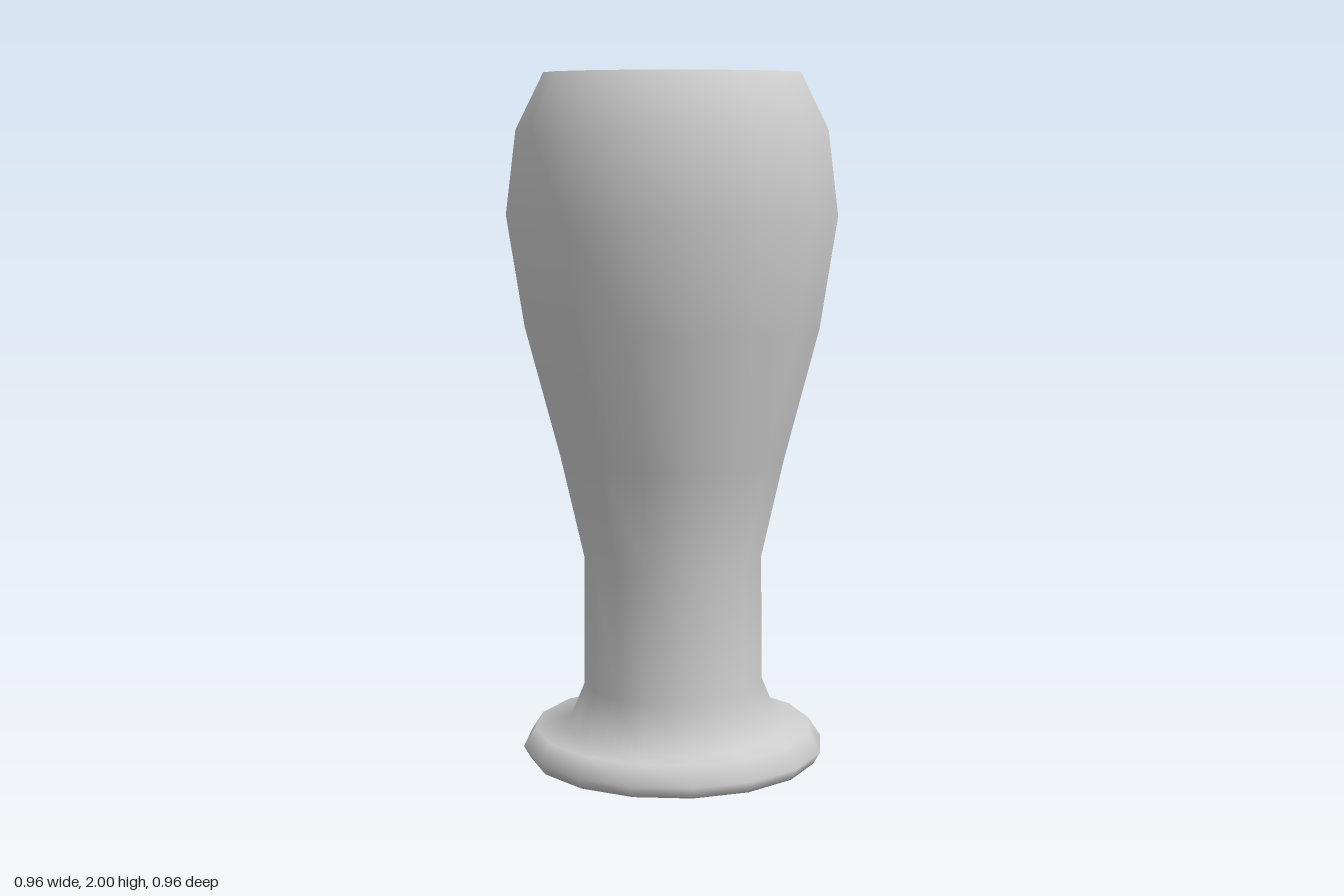
import * as THREE from 'three';

const SIDES = 16;

// Closed profiles as [radius, height], running up the outside and down the inside
const FOOT_AND_BODY = [
  [0, 0], [0.425, 0], [0.445, 0.035], [0.41, 0.09], [0.32, 0.09], // foot
  [0.265, 0.22], [0.262, 0.6],                                    // stem
  [0.33, 0.9], [0.43, 1.28], [0.48, 1.6], [0.45, 1.84], [0.37, 2], // bowl
];
const INTERIOR = [
  [0.325, 2], [0.41, 1.82], [0.44, 1.6], [0.39, 1.28],            // bowl
  [0.29, 0.9], [0.22, 0.6], [0.22, 0.22], [0, 0.2],               // well and floor
];

export function createModel() {
  const group = new THREE.Group();
  group.name = 'beerGlass';

  const profile = [...FOOT_AND_BODY, ...INTERIOR].map(([r, y]) => new THREE.Vector2(r, y));
  const glass = new THREE.Mesh(
    new THREE.LatheGeometry(profile, SIDES),
    new THREE.MeshStandardMaterial({ color: 0xcccccc })
  );
  glass.name = 'glass';
  group.add(glass);

  return group;
}
